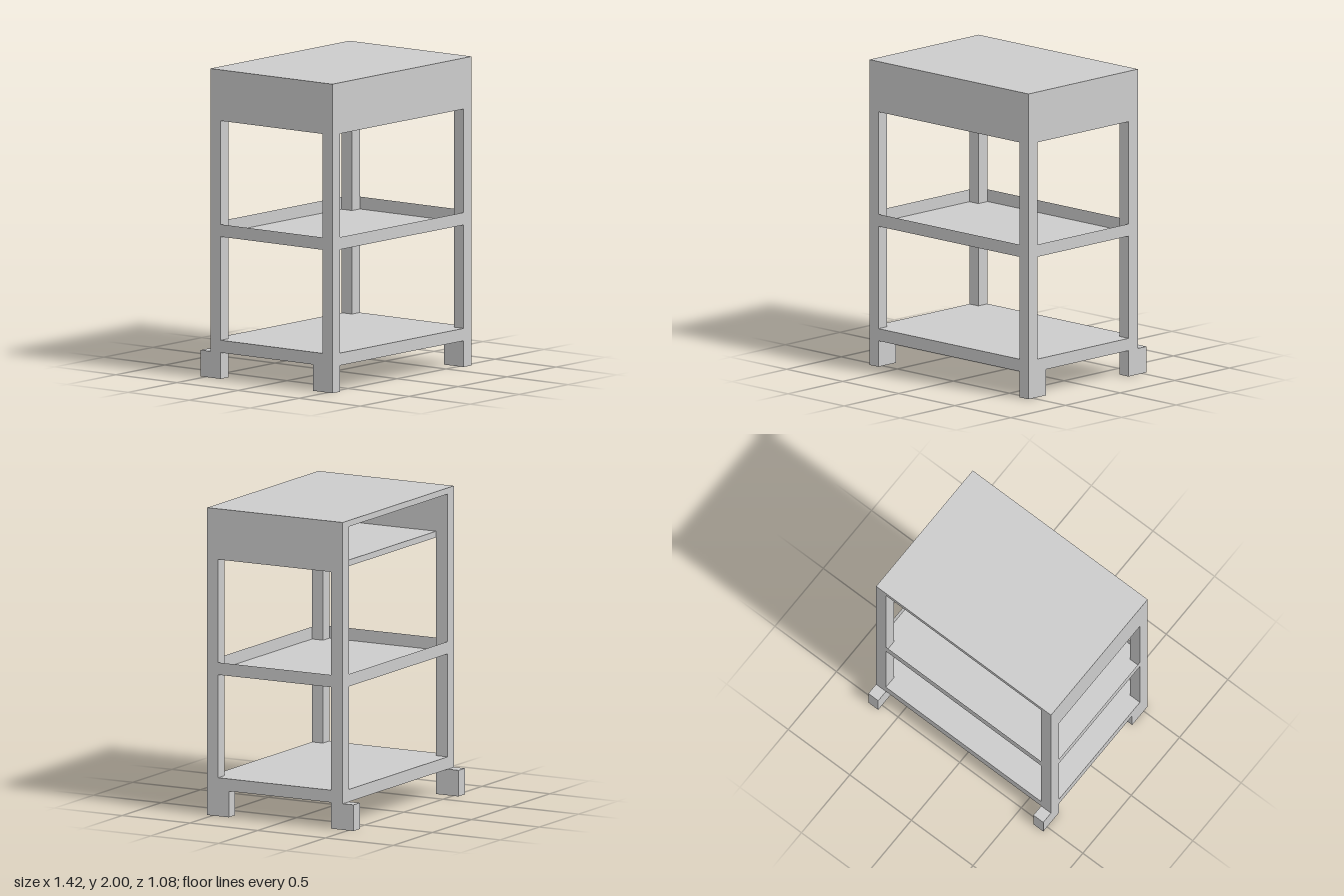
import * as THREE from 'three';

const grey = new THREE.MeshStandardMaterial({ color: 0xcccccc, flatShading: true });
const greyThin = new THREE.MeshStandardMaterial({ color: 0xcccccc, flatShading: true, side: THREE.DoubleSide });

// Outer and inner limits of the frame
const X = 0.71, XI = 0.63;
const FRONT = 0.54, FRONT_IN = 0.46, BACK = -0.46, BACK_IN = -0.375;

export function createModel() {
  const model = new THREE.Group();
  model.name = 'shelfCart';

  // Box given by its limits on each axis
  const box = (name, [x0, x1], [y0, y1], [z0, z1]) => {
    const mesh = new THREE.Mesh(new THREE.BoxGeometry(x1 - x0, y1 - y0, z1 - z0), grey);
    mesh.position.set((x0 + x1) / 2, (y0 + y1) / 2, (z0 + z1) / 2);
    mesh.name = name;
    model.add(mesh);
  };

  // Paper-thin panel
  const panel = (name, w, h, position, rx = 0, ry = 0) => {
    const mesh = new THREE.Mesh(new THREE.PlaneGeometry(w, h), greyThin);
    mesh.position.set(...position);
    mesh.rotation.set(rx, ry, 0);
    mesh.name = name;
    model.add(mesh);
  };

  // Feet, posts and upper side walls, mirrored left and right
  for (const [side, xs] of [['left', [XI, X]], ['right', [-X, -XI]]]) {
    box(side + 'FrontFoot', xs, [0, 0.17], [0.38, FRONT]);
    box(side + 'BackFoot', xs, [0, 0.17], [-0.54, BACK_IN]);
    box(side + 'FrontPost', xs, [0.25, 1.96], [FRONT_IN, FRONT]);
    box(side + 'BackPost', xs, [0.25, 1.96], [BACK, BACK_IN]);
    box(side + 'UpperWall', xs, [1.67, 1.96], [BACK_IN, FRONT_IN]);
  }

  // Solid bottom shelf
  box('bottomShelf', [-X, X], [0.17, 0.25], [BACK, FRONT]);

  // Middle shelf: thin floor with a thin rim on all four sides
  const depth = FRONT - BACK, zMid = (FRONT + BACK) / 2;
  panel('middleShelfFloor', 2 * X, depth, [0, 0.92, zMid], -Math.PI / 2);
  for (const z of [FRONT, BACK]) panel('middleShelfRim', 2 * X, 0.08, [0, 0.96, z]);
  for (const x of [X, -X]) panel('middleShelfRim', depth, 0.08, [x, 0.96, zMid], 0, Math.PI / 2);

  // Upper compartment, open at the back
  box('frontApron', [-XI, XI], [1.67, 1.96], [FRONT_IN, FRONT]);
  box('upperShelf', [-XI, XI], [1.67, 1.71], [BACK_IN, FRONT_IN]);
  box('tableTop', [-X, X], [1.96, 2], [BACK, FRONT]);

  return model;
}
